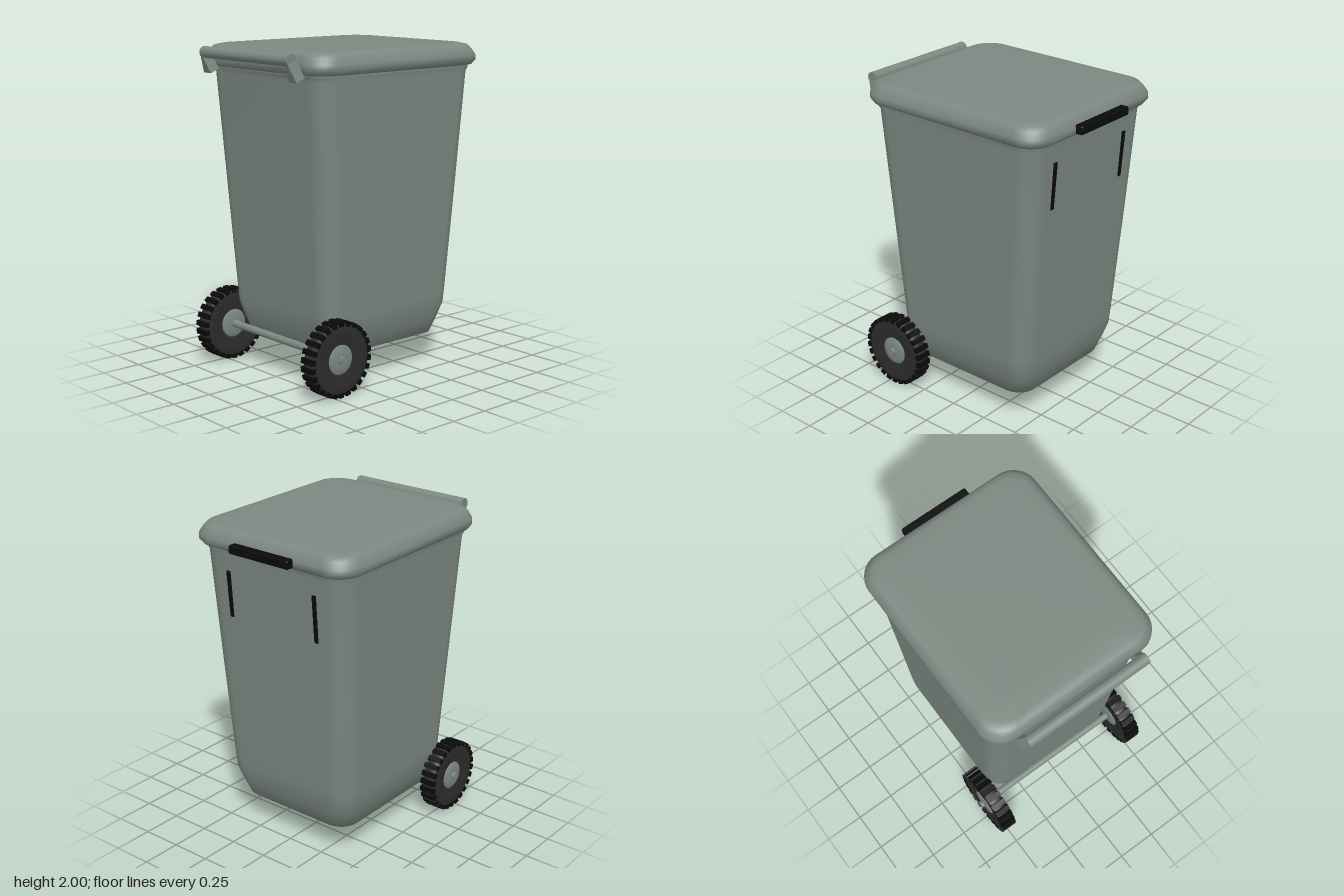
import * as THREE from 'three';
import { RoundedBoxGeometry } from 'three/addons/geometries/RoundedBoxGeometry.js';

const mat = (name, color, side = THREE.FrontSide) => {
  const m = new THREE.MeshStandardMaterial({ color, side });
  m.name = name;
  return m;
};

// Closed loft through rounded rectangles; each ring is [y, halfWidth, zFront, zBack, cornerRadius], bottom to top
function loft(rings, steps = 8) {
  const pos = [], idx = [], n = 4 * (steps + 1);
  for (const [y, hx, zf, zb, r] of rings) {
    for (let c = 0; c < 4; c++) {
      const cx = (c === 0 || c === 3 ? 1 : -1) * (hx - r);
      const cz = c < 2 ? zf - r : zb + r;
      for (let s = 0; s <= steps; s++) {
        const a = (c + s / steps) * Math.PI / 2;
        pos.push(cx + r * Math.cos(a), y, cz + r * Math.sin(a));
      }
    }
  }
  const last = rings.length - 1;
  for (let i = 0; i < last; i++) {
    for (let j = 0; j < n; j++) {
      const a = i * n + j, b = i * n + (j + 1) % n;
      idx.push(a, a + n, b, b, a + n, b + n);
    }
  }
  // Caps
  for (const i of [0, last]) {
    const [y, , zf, zb] = rings[i];
    const centre = pos.length / 3;
    pos.push(0, y, (zf + zb) / 2);
    for (let j = 0; j < n; j++) {
      const a = i * n + j, b = i * n + (j + 1) % n;
      if (i === 0) idx.push(centre, a, b);
      else idx.push(centre, b, a);
    }
  }
  const g = new THREE.BufferGeometry();
  g.setAttribute('position', new THREE.Float32BufferAttribute(pos, 3));
  g.setIndex(idx);
  g.computeVertexNormals();
  return g;
}

export function createModel() {
  const root = new THREE.Group();
  root.name = 'wheeledBin';
  const plastic = mat('greyGreenPlastic', 0x7c8881);
  const rubber = mat('darkRubber', 0x2c2c2c);
  const black = mat('black', 0x0a0a0a);

  const add = (parent, name, geometry, material, x = 0, y = 0, z = 0) => {
    const m = new THREE.Mesh(geometry, material);
    m.name = name;
    m.position.set(x, y, z);
    parent.add(m);
    return m;
  };

  // Tapered body with a chamfered foot and a flared rim
  add(root, 'body', loft([
    [0.2, 0.36, 0.37, -0.42, 0.09],
    [0.2, 0.41, 0.42, -0.475, 0.12],
    [0.3, 0.443, 0.452, -0.508, 0.12],
    [0.385, 0.466, 0.475, -0.533, 0.12],
    [0.46, 0.471, 0.481, -0.539, 0.12],
    [1.1, 0.498, 0.528, -0.587, 0.12],
    [1.83, 0.53, 0.58, -0.636, 0.12],
    [1.855, 0.538, 0.595, -0.645, 0.12],
    [1.88, 0.538, 0.595, -0.645, 0.12],
  ]), plastic);

  // Lid with a rounded overhanging edge
  add(root, 'lid', loft([
    [1.868, 0.5, 0.56, -0.62, 0.11],
    [1.866, 0.535, 0.6, -0.65, 0.13],
    [1.873, 0.558, 0.62, -0.672, 0.14],
    [1.9, 0.576, 0.635, -0.693, 0.15],
    [1.93, 0.575, 0.634, -0.69, 0.15],
    [1.968, 0.555, 0.62, -0.672, 0.15],
    [1.99, 0.535, 0.6, -0.652, 0.14],
    [2.0, 0.5, 0.565, -0.618, 0.13],
    [2.0, 0.4, 0.47, -0.52, 0.1],
  ]), plastic);

  // Push handle, leaning forward
  const handle = new THREE.Group();
  handle.name = 'handle';
  handle.position.set(0, 1.957, 0.698);
  handle.rotation.x = 0.39;
  root.add(handle);
  add(handle, 'handleBar', new THREE.CylinderGeometry(0.035, 0.035, 0.81, 24), plastic).rotation.z = Math.PI / 2;
  const bracket = new THREE.Shape([
    new THREE.Vector2(-0.035, -0.122), new THREE.Vector2(0.035, -0.122),
    new THREE.Vector2(0.009, -0.015), new THREE.Vector2(-0.009, -0.015),
  ]);
  const bracketGeo = new THREE.ExtrudeGeometry(bracket, { depth: 0.064, bevelEnabled: false });
  for (const s of [-1, 1]) add(handle, 'handleBracket', bracketGeo, plastic, s * 0.398, 0, -0.032);

  // Rear lid grip and two slots on the back wall
  add(root, 'lidGrip', new RoundedBoxGeometry(0.44, 0.052, 0.06, 2, 0.01), black, 0, 1.913, -0.705);
  for (const s of [-1, 1]) {
    const slot = add(root, 'backSlot', new THREE.BoxGeometry(0.026, 0.29, 0.009), black, s * 0.32, 1.59, -0.622);
    slot.rotation.x = -0.078;
  }

  // Axle
  add(root, 'axle', new THREE.CylinderGeometry(0.023, 0.023, 1.154, 20), plastic, 0, 0.23, 0.46).rotation.z = Math.PI / 2;

  // Wheels: lathed tyre, domed hub and a ring of tread blocks
  const tyreGeo = new THREE.LatheGeometry([
    [0.03, -0.034], [0.09, -0.036], [0.15, -0.046], [0.2, -0.046], [0.214, -0.036],
    [0.216, 0], [0.214, 0.036], [0.2, 0.046], [0.15, 0.046], [0.09, 0.036], [0.03, 0.034],
  ].map(([r, h]) => new THREE.Vector2(r, h)), 48);
  const hubGeo = new THREE.LatheGeometry([
    [0.001, -0.05], [0.045, -0.049], [0.08, -0.043], [0.093, -0.034],
    [0.093, 0.034], [0.08, 0.043], [0.045, 0.049], [0.001, 0.05],
  ].map(([r, h]) => new THREE.Vector2(r, h)), 32);
  const blockGeo = new THREE.BoxGeometry(0.028, 0.1, 0.032);
  const blocks = 26;
  for (const s of [-1, 1]) {
    const wheel = new THREE.Group();
    wheel.name = s > 0 ? 'leftWheel' : 'rightWheel';
    wheel.position.set(s * 0.51, 0.23, 0.46);
    wheel.rotation.z = -s * Math.PI / 2;
    root.add(wheel);
    add(wheel, 'tyre', tyreGeo, rubber);
    add(wheel, 'hub', hubGeo, plastic);
    for (let i = 0; i < blocks; i++) {
      const a = i / blocks * Math.PI * 2;
      const block = add(wheel, 'treadBlock', blockGeo, black, 0.2135 * Math.cos(a), 0, 0.2135 * Math.sin(a));
      block.rotation.y = -a;
    }
  }
  return root;
}
